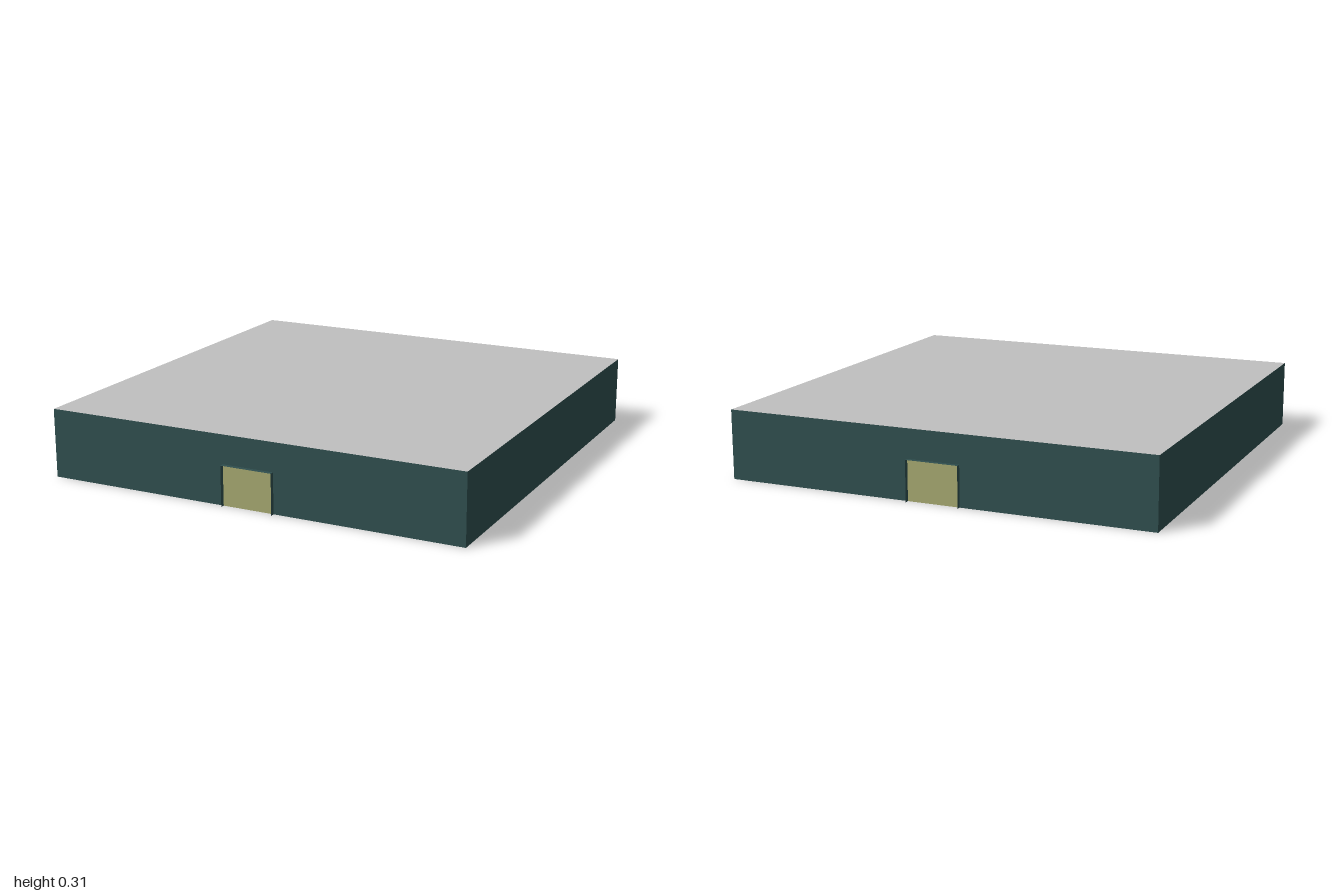
import * as THREE from 'three';

const HALF = 0.98;      // half width of the building
const HEIGHT = 0.314;   // wall height
const DOOR_W = 0.12;    // half width of a doorway
const DOOR_H = 0.183;   // doorway height
const DEPTH = 0.02;     // how far the door surround stands out

function material(name, color) {
  const m = new THREE.MeshStandardMaterial({ color, side: THREE.DoubleSide });
  m.name = name;
  return m;
}

export function createModel() {
  const wallMat = material('dark slate', 0x2f4f4f);
  const roofMat = material('light grey', 0xc0c0c0);
  const floorMat = material('olive khaki', 0x8f9160);

  const model = new THREE.Group();
  model.name = 'building';

  function plate(parent, name, w, h, mat, position, rotation) {
    const mesh = new THREE.Mesh(new THREE.PlaneGeometry(w, h), mat);
    mesh.name = name;
    mesh.position.set(...position);
    mesh.rotation.set(...rotation);
    parent.add(mesh);
  }

  // Roof and floor sheets
  plate(model, 'roof', 2 * HALF, 2 * HALF, roofMat, [0, HEIGHT, 0], [-Math.PI / 2, 0, 0]);
  plate(model, 'floor', 2 * HALF, 2 * HALF, floorMat, [0, 0, 0], [-Math.PI / 2, 0, 0]);

  // Plain side walls
  for (const [name, s] of [['leftWall', 1], ['rightWall', -1]]) {
    plate(model, name, 2 * HALF, HEIGHT, wallMat, [s * HALF, HEIGHT / 2, 0], [0, s * Math.PI / 2, 0]);
  }

  // End wall outline with the doorway cut up from the ground
  const outline = new THREE.Shape([
    [-HALF, 0], [-DOOR_W, 0], [-DOOR_W, DOOR_H], [DOOR_W, DOOR_H],
    [DOOR_W, 0], [HALF, 0], [HALF, HEIGHT], [-HALF, HEIGHT],
  ].map(([x, y]) => new THREE.Vector2(x, y)));
  const endGeometry = new THREE.ShapeGeometry(outline);

  // Front and back ends, each with a thin projecting door surround
  for (const [name, turn] of [['front', 0], ['back', Math.PI]]) {
    const end = new THREE.Group();
    end.name = name + 'End';
    end.rotation.y = turn;

    const wall = new THREE.Mesh(endGeometry, wallMat);
    wall.name = name + 'Wall';
    wall.position.z = HALF;
    end.add(wall);

    const z = HALF + DEPTH / 2;
    for (const s of [-1, 1]) {
      plate(end, name + 'DoorJamb', DEPTH, DOOR_H, wallMat, [s * DOOR_W, DOOR_H / 2, z], [0, s * Math.PI / 2, 0]);
    }
    plate(end, name + 'DoorLintel', 2 * DOOR_W, DEPTH, wallMat, [0, DOOR_H, z], [-Math.PI / 2, 0, 0]);
    model.add(end);
  }
  return model;
}
